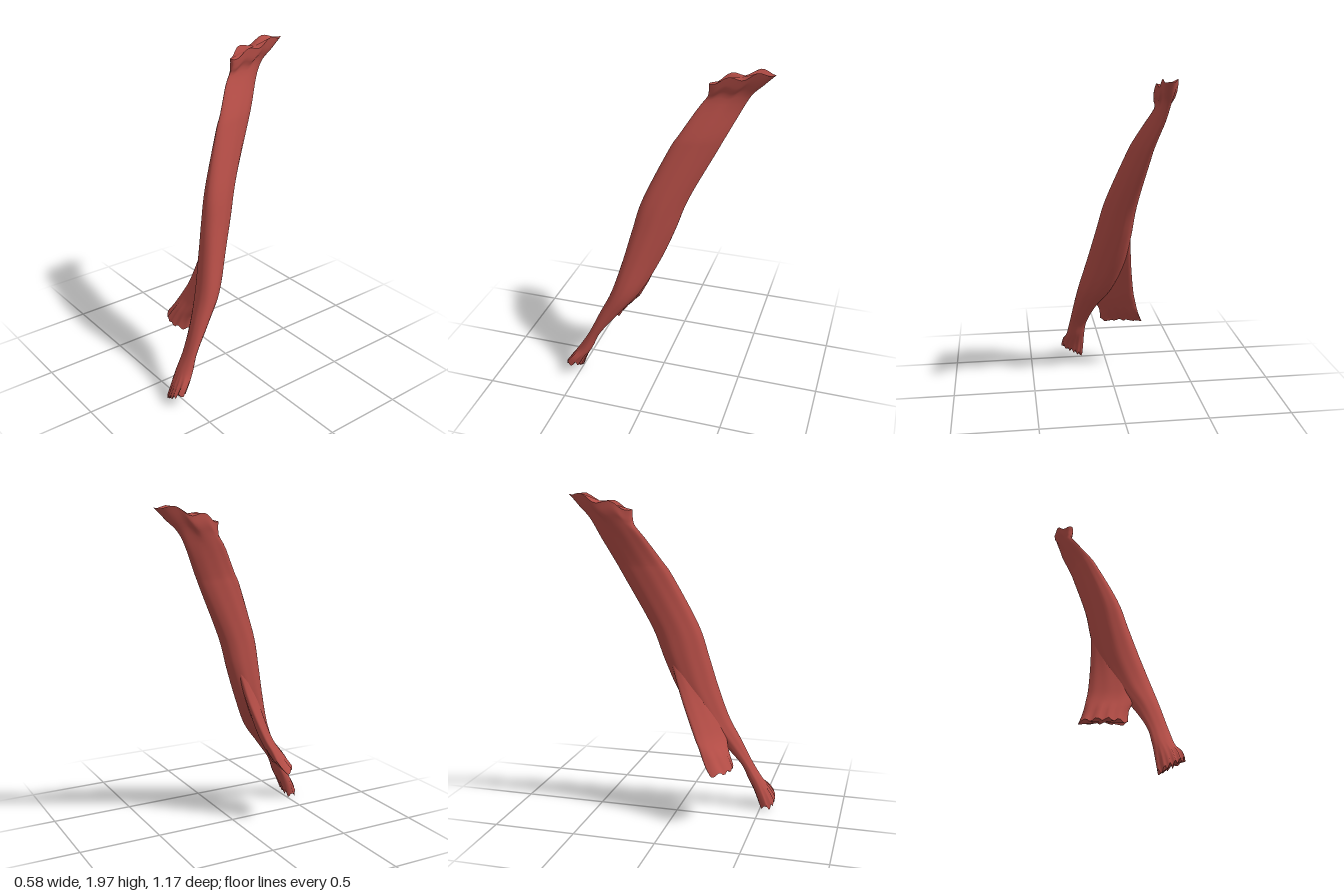
import * as THREE from 'three';

const SIDES = 48;
const RINGS = 60;

// Lofts flattened, slanted oval sections: [y, xMin, xMax, zMin, zMax, slant].
// sculpt(point, y, a, b) bends each point; a and b run -1..1 across x and z.
function loft(sections, sculpt) {
  const centre = new THREE.CatmullRomCurve3(sections.map(([y, x0, x1, z0, z1]) =>
    new THREE.Vector3((x0 + x1) / 2, y, (z0 + z1) / 2)), false, 'catmullrom', 0.5);
  const size = new THREE.CatmullRomCurve3(sections.map(([, x0, x1, z0, z1, slant]) =>
    new THREE.Vector3((x1 - x0) / 2, slant, (z1 - z0) / 2)), false, 'catmullrom', 0.5);
  const pos = [];
  const index = [];
  const p = new THREE.Vector3();
  for (let i = 0; i <= RINGS; i++) {
    const c = centre.getPoint(i / RINGS);
    const s = size.getPoint(i / RINGS);
    const phase = Math.acos(THREE.MathUtils.clamp(s.y, -0.95, 0.95));
    for (let j = 0; j < SIDES; j++) {
      const t = (j / SIDES) * Math.PI * 2;
      // shallow lengthwise fibre grooves
      const groove = 1 - 0.02 * (1 + Math.sin(9 * t + 2 * Math.sin(i * 0.07)))
        * Math.abs(Math.sin(t - phase / 2));
      const a = Math.cos(t);
      const b = Math.cos(t - phase);
      p.set(c.x + s.x * a * groove, c.y, c.z + s.z * b * groove);
      sculpt(p, c.y, a, b);
      pos.push(p.x, p.y, p.z);
    }
  }
  for (let i = 0; i < RINGS; i++) {
    for (let j = 0; j < SIDES; j++) {
      const k = (j + 1) % SIDES;
      const a = i * SIDES + j, b = i * SIDES + k;
      index.push(a, b, a + SIDES, b, b + SIDES, a + SIDES);
    }
  }
  // end caps with their own vertices, so the rims stay sharp
  for (const [ring, top] of [[0, true], [RINGS, false]]) {
    const first = pos.length / 3;
    const from = ring * SIDES * 3;
    pos.push(...pos.slice(from, from + SIDES * 3));
    const mid = [0, 1, 2].map((n) => {
      let sum = 0;
      for (let j = 0; j < SIDES; j++) sum += pos[from + j * 3 + n];
      return sum / SIDES;
    });
    pos.push(...mid);
    for (let j = 0; j < SIDES; j++) {
      const a = first + j, b = first + (j + 1) % SIDES;
      if (top) index.push(first + SIDES, b, a);
      else index.push(first + SIDES, a, b);
    }
  }
  const geo = new THREE.BufferGeometry();
  geo.setAttribute('position', new THREE.Float32BufferAttribute(pos, 3));
  geo.setIndex(index);
  geo.computeVertexNormals();
  return geo;
}

export function createModel() {
  const group = new THREE.Group();
  group.name = 'muscle';
  const red = new THREE.MeshStandardMaterial({ color: 0xb44d46 });
  red.name = 'muscle red';
  red.side = THREE.DoubleSide;
  const ramp = THREE.MathUtils.smoothstep;

  const add = (name, geometry) => {
    const mesh = new THREE.Mesh(geometry, red);
    mesh.name = name;
    group.add(mesh);
  };

  // long band, from the hooked upper end to the frayed lower end
  add('mainBand', loft([
    [1.94, -0.29, -0.19, -0.585, -0.20, 0.0],
    [1.88, -0.285, -0.192, -0.52, -0.20, 0.1],
    [1.80, -0.258, -0.198, -0.435, -0.18, 0.35],
    [1.60, -0.20, -0.10, -0.33, -0.06, 0.47],
    [1.50, -0.18, -0.06, -0.28, 0.00, 0.48],
    [1.20, -0.13, 0.045, -0.13, 0.135, 0.46],
    [1.00, -0.108, 0.095, -0.06, 0.19, 0.46],
    [0.80, -0.075, 0.145, 0.02, 0.24, 0.46],
    [0.60, -0.005, 0.197, 0.125, 0.30, 0.35],
    [0.45, 0.078, 0.222, 0.25, 0.37, 0.25],
    [0.30, 0.13, 0.243, 0.37, 0.44, 0.1],
    [0.20, 0.14, 0.26, 0.415, 0.50, 0.0],
    [0.12, 0.142, 0.285, 0.46, 0.55, 0.0],
    [0.055, 0.145, 0.292, 0.49, 0.585, 0.05],
  ], (p, y, a, b) => {
    // upper end rises toward the back, dips near the front and bows outward
    const up = ramp(y, 1.72, 1.94);
    p.y += up * (-0.045 * b + 0.016 * Math.sin(b * 7 - 1.2));
    p.x += up * 0.03 * b * b;
    // lower end slopes and frays
    const down = 1 - ramp(y, 0.05, 0.2);
    p.y += down * (0.04 * a + 0.015 * Math.sin(a * 17));
  }));

  // thin fan that peels off the band to the side
  add('sideFan', loft([
    [1.02, -0.10, 0.02, -0.02, 0.11, 0.8],
    [0.80, -0.116, 0.05, 0.045, 0.18, 0.8],
    [0.60, -0.142, 0.085, 0.12, 0.255, 0.78],
    [0.50, -0.165, 0.09, 0.165, 0.295, 0.74],
    [0.42, -0.19, 0.058, 0.215, 0.335, 0.6],
    [0.345, -0.224, 0.048, 0.285, 0.37, 0.5],
  ], (p, y, a) => {
    const end = 1 - ramp(y, 0.345, 0.5);
    p.z -= end * 0.035 * a * a;
    p.y += end * 0.01 * Math.sin(a * 14);
  }));

  return group;
}
